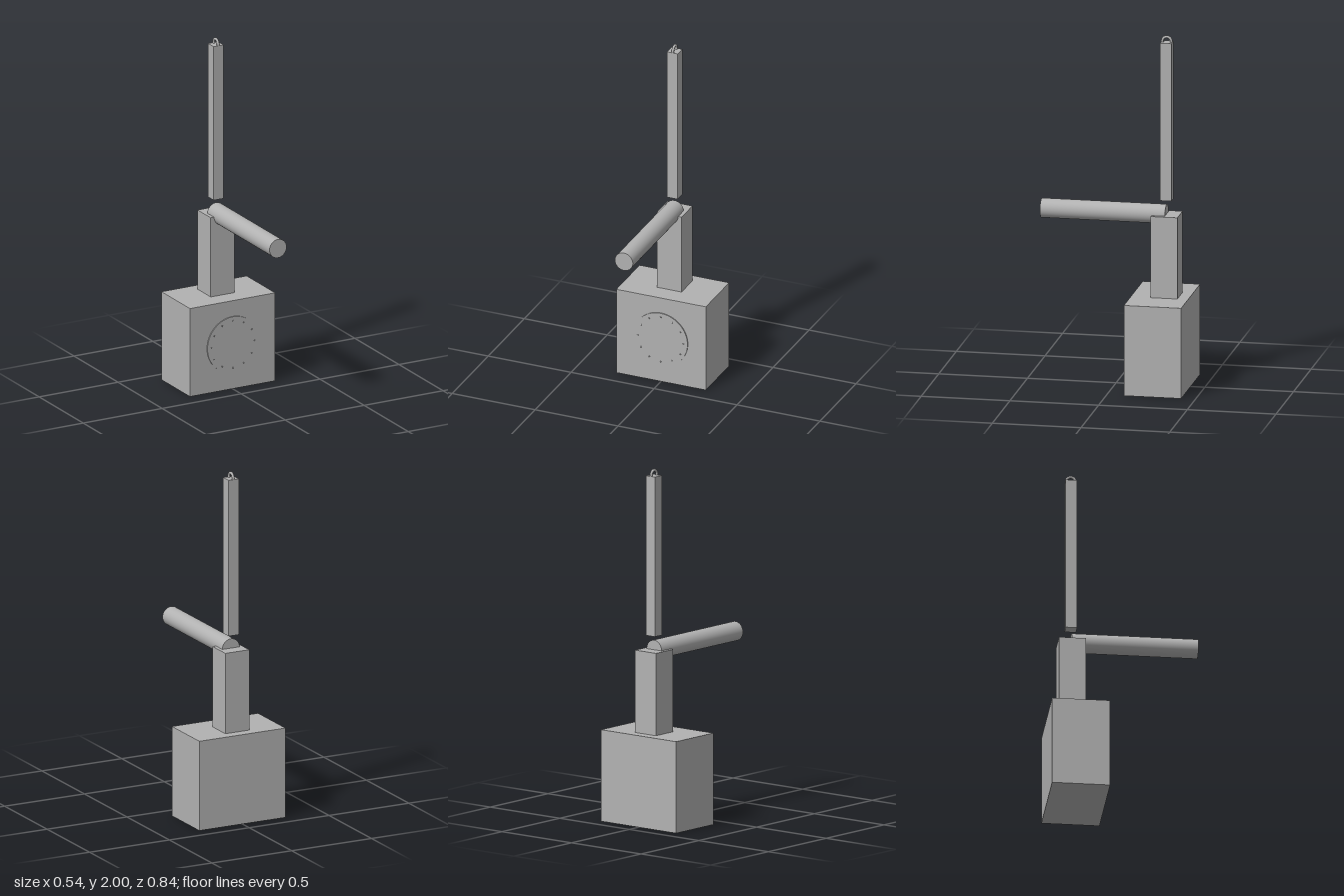
import * as THREE from 'three';

export function createModel() {
  const model = new THREE.Group();
  const grey = new THREE.MeshStandardMaterial({ color: 0xb2b2b2 });
  grey.name = 'plain grey';

  const add = (name, geometry, x, y, z) => {
    const mesh = new THREE.Mesh(geometry, grey);
    mesh.name = name;
    mesh.position.set(x, y, z);
    model.add(mesh);
    return mesh;
  };

  // Body and neck
  add('body', new THREE.BoxGeometry(0.54, 0.516, 0.323), 0, 0.258, -0.2585);
  add('neck', new THREE.BoxGeometry(0.15, 0.465, 0.15), 0, 0.7475, -0.285);

  // Horizontal arm, half sunk into the top of the neck
  const arm = new THREE.CylinderGeometry(0.054, 0.054, 0.704, 48).rotateX(Math.PI / 2);
  add('arm', arm, 0, 0.98, 0.067);

  // Floating upright bar with a hanging ring
  add('uprightBar', new THREE.BoxGeometry(0.064, 0.9, 0.064), 0, 1.512, -0.286);
  const ring = new THREE.TorusGeometry(0.025, 0.0075, 16, 48).rotateY(Math.PI / 2);
  add('hangingRing', ring, 0, 1.9675, -0.286);

  // Dial on the front with twelve tiny studs
  const dial = new THREE.CylinderGeometry(0.162, 0.162, 0.006, 64).rotateX(Math.PI / 2);
  add('dial', dial, 0, 0.262, -0.094);
  const stud = new THREE.SphereGeometry(0.005, 12, 8);
  for (let i = 0; i < 12; i++) {
    const a = (i * Math.PI) / 6;
    add('dialStud', stud, Math.cos(a) * 0.137, 0.262 + Math.sin(a) * 0.137, -0.0935);
  }
  return model;
}
